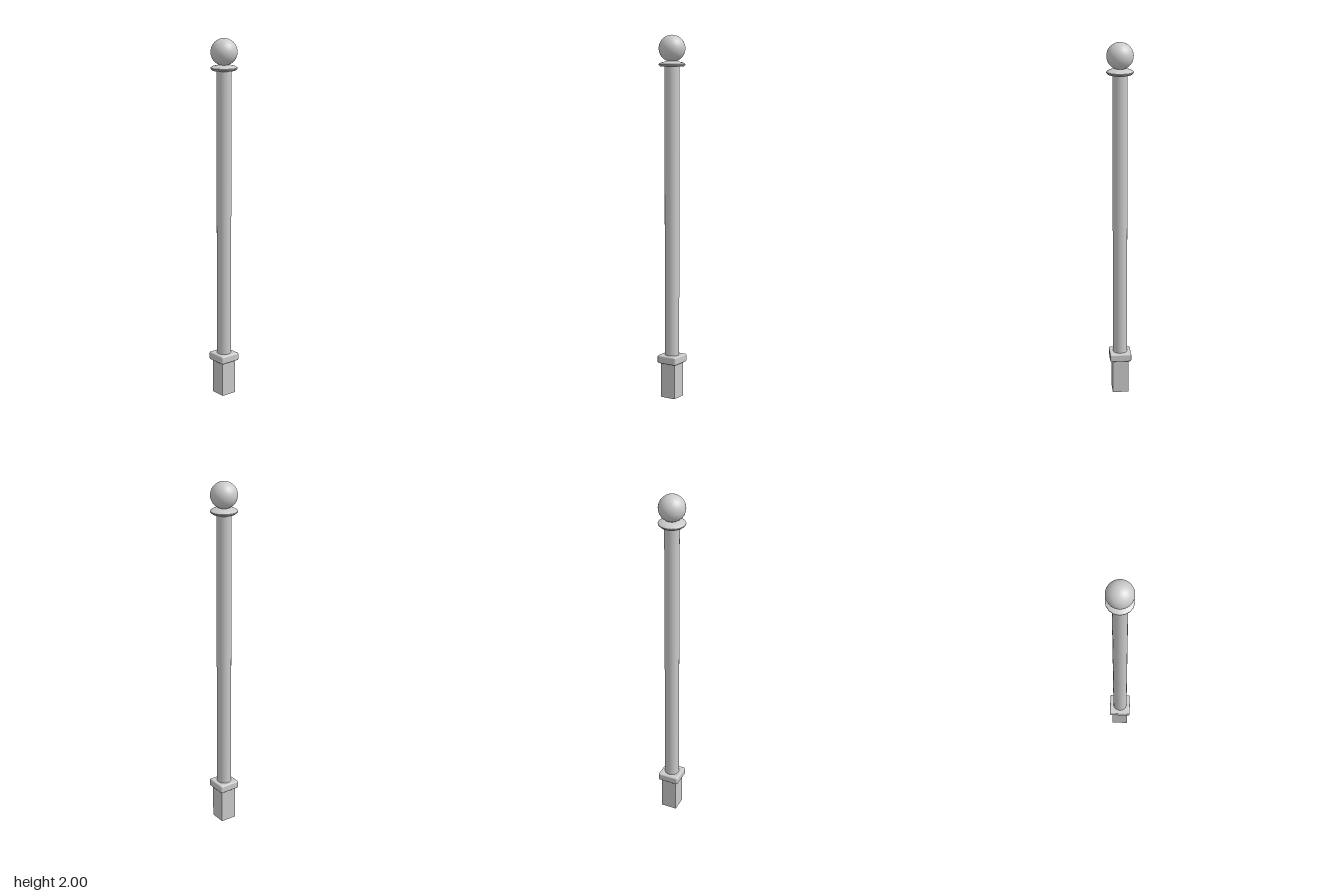
import * as THREE from 'three';
import { RoundedBoxGeometry } from 'three/addons/geometries/RoundedBoxGeometry.js';
import { toCreasedNormals } from 'three/addons/utils/BufferGeometryUtils.js';

export function createModel() {
  const group = new THREE.Group();
  const material = new THREE.MeshStandardMaterial({ color: 0xcccccc });

  const add = (name, geometry, y) => {
    const mesh = new THREE.Mesh(geometry, material);
    mesh.name = name;
    mesh.position.y = y;
    group.add(mesh);
  };

  // Square foot
  add('base', new THREE.BoxGeometry(0.09, 0.2, 0.09), 0.1);

  // Softened square collar over the foot
  add('collar', new RoundedBoxGeometry(0.12, 0.045, 0.12, 2, 0.008), 0.2175);

  // Long round shaft
  add('shaft', new THREE.CylinderGeometry(0.04, 0.04, 1.61, 24), 1.035);

  // Flared flange under the ball, widest at its rim
  const profile = [[0, 0], [0.064, 0], [0.073, 0.009], [0.073, 0.014], [0.06, 0.022], [0.03, 0.029], [0, 0.029]]
    .map(([r, y]) => new THREE.Vector2(r, y));
  add('flange', toCreasedNormals(new THREE.LatheGeometry(profile, 16), 0.5), 1.831);

  // Ball finial
  add('ballFinial', new THREE.SphereGeometry(0.072, 32, 20), 1.928);

  return group;
}
